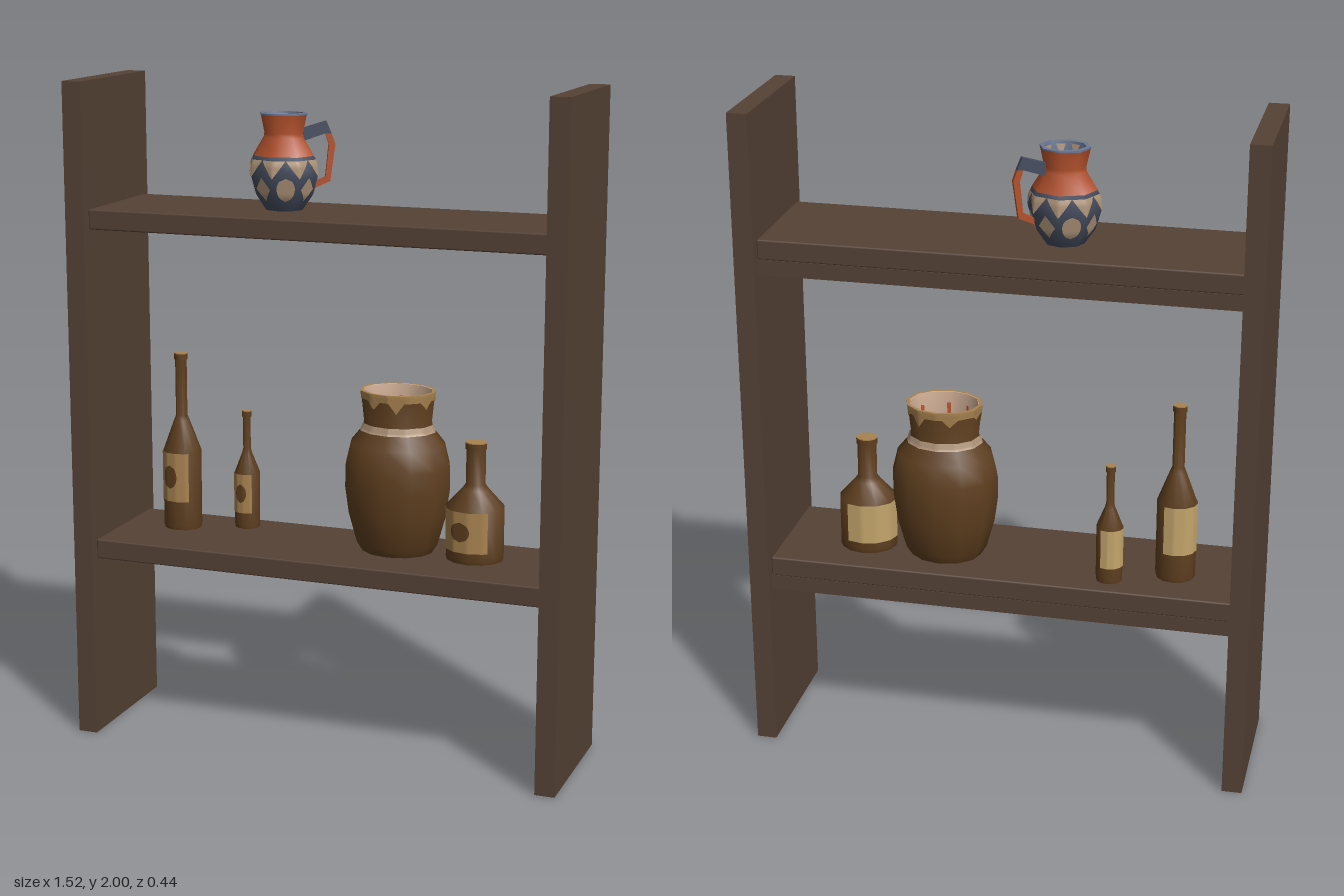
import * as THREE from 'three';
import { toCreasedNormals } from 'three/addons/utils/BufferGeometryUtils.js';
import { RoundedBoxGeometry } from 'three/addons/geometries/RoundedBoxGeometry.js';

const mat = (name, color, side = THREE.FrontSide) => {
  const m = new THREE.MeshStandardMaterial({ color, side });
  m.name = name;
  return m;
};

export function createModel() {
  const wood = mat('dark wood', 0x554236);
  const brown = mat('brown glaze', 0x5f3f1f);
  const gold = mat('tan label', 0xa88350, THREE.DoubleSide);
  const pale = mat('pale label', 0xc4a56c, THREE.DoubleSide);
  const cream = mat('cream', 0xd6b39a);
  const orange = mat('burnt orange', 0xb3512c, THREE.DoubleSide);
  const navy = mat('navy glaze', 0x464d60);
  const clay = mat('clay beige', 0xb0957a, THREE.DoubleSide);
  const slate = mat('slate blue', 0x6b7894);

  const model = new THREE.Group();
  model.name = 'shelfWithPottery';

  const add = (parent, name, geo, material) => {
    const m = new THREE.Mesh(geo, material);
    m.name = name;
    parent.add(m);
    return m;
  };
  const holder = (name, x, y, z, depthScale = 1) => {
    const g = new THREE.Group();
    g.name = name;
    g.position.set(x, y, z);
    g.scale.z = depthScale;
    model.add(g);
    return g;
  };
  const turned = (profile, sides) => toCreasedNormals(
    new THREE.LatheGeometry(profile.map(([r, y]) => new THREE.Vector2(r, y)), sides), 0.9);

  // Radius of a many-sided turned profile at height y and angle t
  const radiusAt = (profile, sides, y, t) => {
    let r = 0;
    for (let i = 1; i < profile.length; i++) {
      const [r0, y0] = profile[i - 1], [r1, y1] = profile[i];
      if (y >= y0 && y <= y1 && y1 > y0) r = r0 + (r1 - r0) * (y - y0) / (y1 - y0);
    }
    const step = 2 * Math.PI / sides;
    const a = ((t % step) + step) % step - step / 2;
    return r * Math.cos(step / 2) / Math.cos(a);
  };

  // Thin painted patch that hugs a turned surface; angles in degrees from the front
  const rect = () => 1;
  const oval = v => Math.sqrt(Math.max(0, 1 - (2 * v - 1) ** 2));
  const diamond = v => 1 - Math.abs(2 * v - 1);
  const triangle = v => v;
  const patch = (profile, sides, y0, y1, t0, t1, width = rect, lift = 0.003) => {
    const cols = Math.max(6, Math.ceil((t1 - t0) / 5)), rows = 8;
    const pos = [], idx = [];
    for (let j = 0; j <= rows; j++) {
      for (let i = 0; i <= cols; i++) {
        const v = j / rows, y = y0 + (y1 - y0) * v;
        const deg = (t0 + t1) / 2 + (t1 - t0) * (i / cols - 0.5) * width(v);
        const t = THREE.MathUtils.degToRad(deg);
        const r = radiusAt(profile, sides, y, t) + lift;
        pos.push(r * Math.sin(t), y, r * Math.cos(t));
        if (i < cols && j < rows) {
          const a = j * (cols + 1) + i, b = a + cols + 1;
          idx.push(a, a + 1, b, a + 1, b + 1, b);
        }
      }
    }
    const g = new THREE.BufferGeometry();
    g.setAttribute('position', new THREE.Float32BufferAttribute(pos, 3));
    g.setIndex(idx);
    g.computeVertexNormals();
    return g;
  };

  // Upright side panels
  for (const s of [1, -1]) {
    add(model, s > 0 ? 'leftPanel' : 'rightPanel', new THREE.BoxGeometry(0.06, 2, 0.44), wood)
      .position.set(s * 0.73, 1, 0);
  }

  // Two shelves: an eased board with a narrow rail under its back edge
  for (const [name, top] of [['lowerShelf', 0.615], ['upperShelf', 1.625]]) {
    add(model, name + 'Board', new RoundedBoxGeometry(1.4, 0.06, 0.38, 1, 0.005), wood)
      .position.set(0, top - 0.03, 0);
    add(model, name + 'Rail', new THREE.BoxGeometry(1.4, 0.047, 0.03), wood)
      .position.set(0, top - 0.0835, -0.173);
  }

  // Bottles: body radius, body height, neck radius, neck start, total height, label and badge
  const bottles = [
    { name: 'tallBottle', x: -0.513, z: -0.04, R: 0.06, body: 0.245, r: 0.018, neck: 0.355, h: 0.55, low: 0.09, badge: [-42, 4] },
    { name: 'smallBottle', x: -0.325, z: -0.108, R: 0.04, body: 0.175, r: 0.012, neck: 0.25, h: 0.37, low: 0.05, badge: [-34, 14] },
    { name: 'wideBottle', x: 0.437, z: -0.024, R: 0.089, body: 0.16, r: 0.03, neck: 0.228, h: 0.355, low: 0.035, badge: [-36, 4] },
  ];
  for (const b of bottles) {
    const g = holder(b.name, b.x, 0.615, b.z, 0.9);
    const profile = [[0, 0], [b.R * 0.96, 0], [b.R, 0.012], [b.R, b.body],
      [b.r * 1.35, b.neck - 0.015], [b.r, b.neck], [b.r, b.h - 0.02]];
    add(g, 'bottleBody', turned(profile, 12), brown);
    const lip = b.r + 0.003;
    add(g, 'bottleLip', turned([[b.r, b.h - 0.02], [lip, b.h - 0.02], [lip, b.h - 0.003]], 12), brown);
    add(g, 'bottleStopper', turned([[lip, b.h - 0.003], [lip, b.h], [0, b.h]], 12), gold);
    const top = b.body - 0.002, mid = (b.low + b.body) / 2, half = (b.body - b.low) * 0.24;
    add(g, 'frontLabel', patch(profile, 12, b.low, top, -80, 40, rect, 0.002), gold);
    add(g, 'backLabel', patch(profile, 12, b.low, top, 150, 268, rect, 0.002), pale);
    add(g, 'labelBadge', patch(profile, 12, mid - half, mid + half, ...b.badge, oval, 0.004), brown);
  }

  // Large storage jar, a little flattened front to back
  const jar = holder('largeJar', 0.193, 0.615, -0.029, 0.84);
  const jarOuter = [[0, 0], [0.108, 0], [0.127, 0.03], [0.152, 0.12], [0.163, 0.2], [0.162, 0.265],
    [0.146, 0.33], [0.11, 0.374], [0.104, 0.392], [0.114, 0.485], [0.114, 0.49]];
  const jarInner = [[0.114, 0.49], [0.104, 0.49], [0.096, 0.39], [0.13, 0.3], [0.13, 0.15], [0, 0.1]];
  add(jar, 'jarBody', turned(jarOuter, 12), brown);
  add(jar, 'jarInside', turned(jarInner, 12), cream);
  add(jar, 'jarNeckRing', patch(jarOuter, 12, 0.37, 0.392, 0, 360), clay);
  add(jar, 'jarRimBand', patch(jarOuter, 12, 0.468, 0.489, 0, 360, rect, 0.002), gold);
  add(jar, 'jarRimTop', turned([[0.116, 0.489], [0.116, 0.491], [0.105, 0.491]], 12), gold);
  const innerWall = [[0.096, 0.39], [0.104, 0.49]];
  for (let i = 0; i < 8; i++) {
    const t = i * 45 + (i % 3) * 7;
    add(jar, 'rimGlazeRun', patch(jarOuter, 12, 0.435 + (i % 3) * 0.01, 0.47, t, t + 26, triangle), gold);
    add(jar, 'innerGlazeRun', patch(innerWall, 12, 0.4 + (i % 2) * 0.02, 0.455, t, t + 7, rect, -0.003), orange);
  }

  // Painted jug: decorated lower body, plain shoulder and neck
  const jug = holder('paintedJug', -0.162, 1.625, -0.018, 0.88);
  const jugLower = [[0, 0], [0.058, 0], [0.09, 0.045], [0.106, 0.1], [0.104, 0.135], [0.095, 0.16]];
  const jugUpper = [[0.095, 0.16], [0.063, 0.212], [0.061, 0.225], [0.073, 0.28]];
  const jugInner = [[0.073, 0.28], [0.063, 0.282], [0.052, 0.22], [0.085, 0.15], [0.08, 0.05], [0, 0.03]];
  const jugThroat = [[0.052, 0.22], [0.063, 0.282]];
  add(jug, 'jugLowerBody', turned(jugLower, 8), navy);
  add(jug, 'jugUpperBody', turned(jugUpper, 8), orange);
  add(jug, 'jugInside', turned(jugInner, 8), slate);
  add(jug, 'jugRim', turned([[0.074, 0.278], [0.074, 0.283], [0.062, 0.284]], 8), slate);
  for (let i = 0; i < 8; i++) {
    const t = i * 45;
    add(jug, 'upperMotif', patch(jugLower, 8, 0.098, 0.15, t - 22, t + 22, triangle), clay);
    add(jug, 'lowerMotif', patch(jugLower, 8, 0.03, 0.1, t + 6, t + 39, i % 2 ? diamond : oval), clay);
    add(jug, 'throatMotif', patch(jugThroat, 8, 0.235, 0.275, t + 8, t + 37, triangle, -0.002), clay);
  }

  // Jug handle, swung out to the back left
  const handle = holder('jugHandle', -0.162, 1.625, -0.018);
  handle.rotation.y = Math.atan2(0.065, 0.132);
  const strap = (name, pts, depth, material) => {
    const g = new THREE.ExtrudeGeometry(new THREE.Shape(pts.map(p => new THREE.Vector2(...p))),
      { depth, bevelEnabled: false });
    g.translate(0, 0, -depth / 2);
    add(handle, name, g, material);
  };
  strap('handleTop', [[0.056, 0.2], [0.122, 0.222], [0.14, 0.222], [0.125, 0.258], [0.058, 0.238]], 0.018, navy);
  strap('handleGrip', [[0.122, 0.222], [0.132, 0.19], [0.122, 0.095], [0.09, 0.08], [0.09, 0.062],
    [0.136, 0.082], [0.151, 0.19], [0.14, 0.222]], 0.017, orange);

  return model;
}
